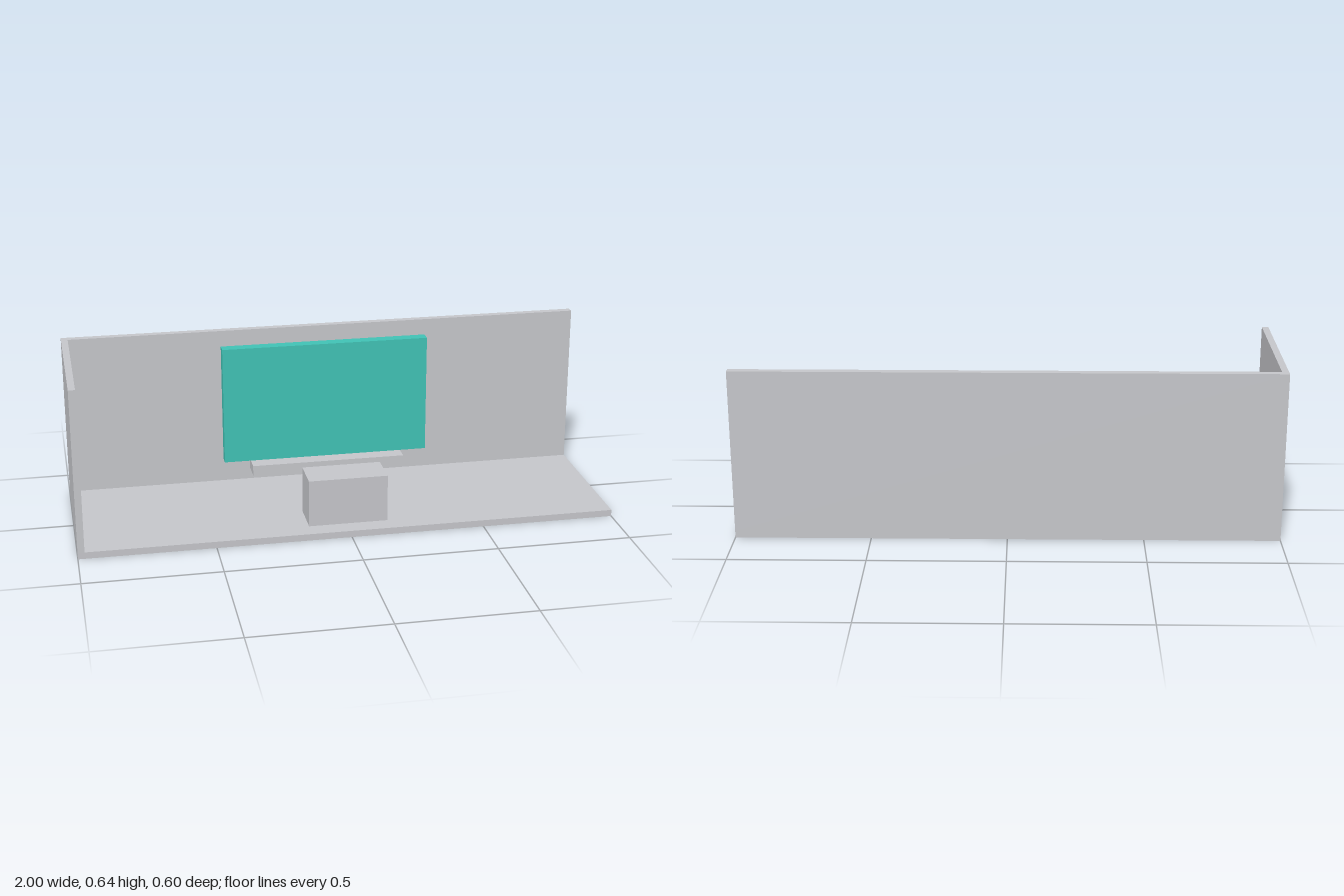
import * as THREE from 'three';

const grey = new THREE.MeshStandardMaterial({ color: 0xc4c5c9 });
grey.name = 'light grey';
const teal = new THREE.MeshStandardMaterial({ color: 0x40c1b4 });
teal.name = 'teal';

// Box given by its extents along each axis
function box(name, material, [x0, x1], [y0, y1], [z0, z1]) {
  const mesh = new THREE.Mesh(new THREE.BoxGeometry(x1 - x0, y1 - y0, z1 - z0), material);
  mesh.position.set((x0 + x1) / 2, (y0 + y1) / 2, (z0 + z1) / 2);
  mesh.name = name;
  return mesh;
}

export function createModel() {
  const model = new THREE.Group();
  model.name = 'roomWithScreen';

  // Open room: floor, back wall and one side wall
  const room = new THREE.Group();
  room.name = 'room';
  room.add(
    box('floor', grey, [-1, 1], [0, 0.025], [-0.3, 0.3]),
    box('backWall', grey, [-1, 1], [0.025, 0.64], [-0.3, -0.272]),
    box('sideWall', grey, [-1, -0.975], [0.025, 0.64], [-0.272, 0.3]),
  );

  // Screen with its rear housing, and the bar beneath it
  const display = new THREE.Group();
  display.name = 'display';
  display.add(
    box('screen', teal, [-0.4, 0.4], [0.121, 0.581], [-0.262, -0.218]),
    box('screenBack', grey, [-0.33, 0.33], [0.229, 0.515], [-0.265, -0.262]),
    box('soundBar', grey, [-0.298, 0.298], [0.081, 0.121], [-0.249, -0.159]),
  );

  // Low block standing on the floor
  const block = box('floorBlock', grey, [-0.148, 0.148], [0.025, 0.204], [0.091, 0.23]);

  model.add(room, display, block);
  return model;
}
